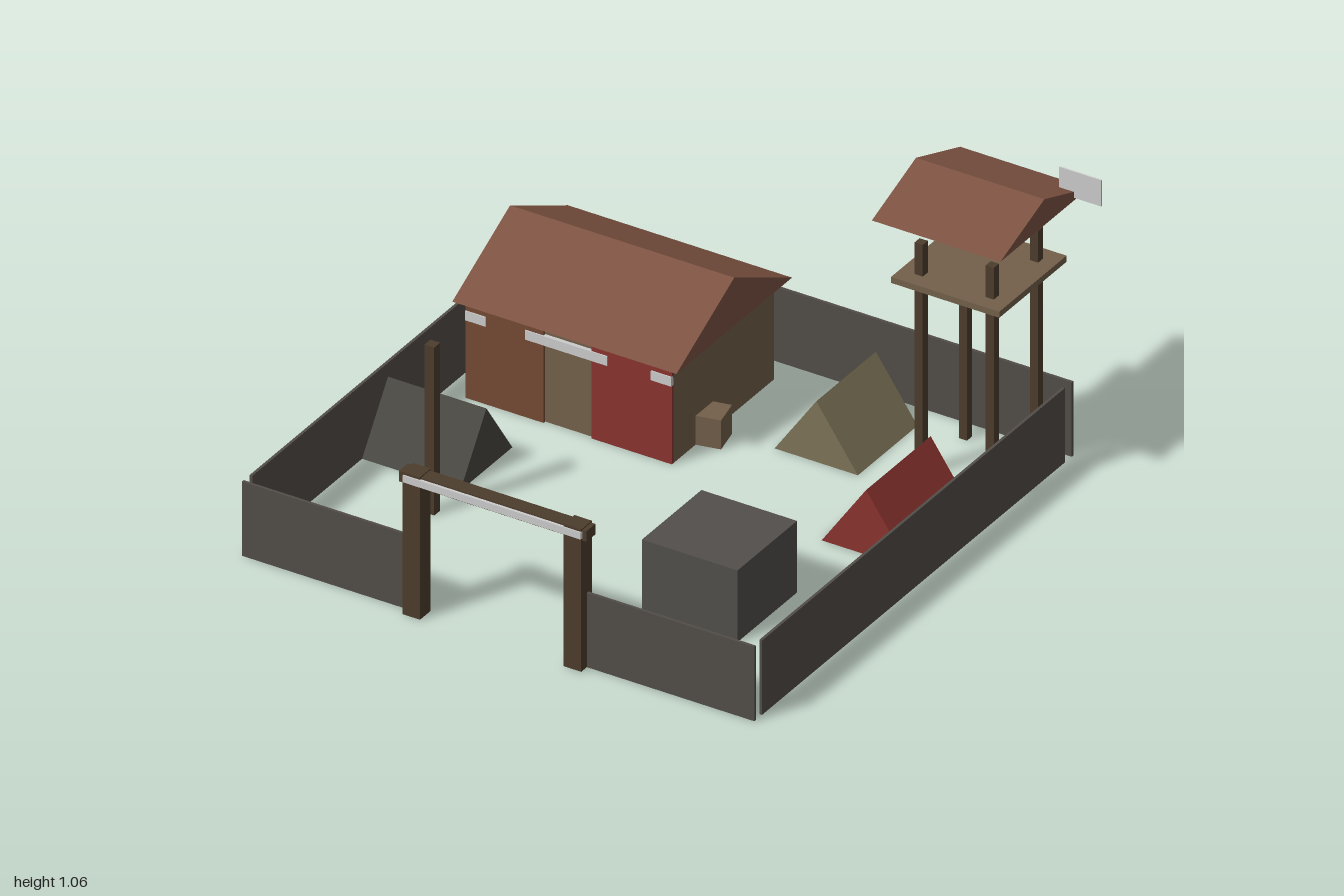
import * as THREE from 'three';

const mat = (color) => new THREE.MeshStandardMaterial({ color, flatShading: true });
const M = {
  grey: mat(0xcccccc), wall: mat(0x524d47), darkWood: mat(0x4d3d2d), plank: mat(0x73604a),
  roof: mat(0x7d5342), red: mat(0x8a332e), brown: mat(0x744a33), olive: mat(0x7d7458),
  dark: mat(0x4a4841), stone: mat(0x524f4b),
};

// Box given by its limits on each axis
function box(parent, name, material, [x0, x1], [y0, y1], [z0, z1]) {
  const mesh = new THREE.Mesh(new THREE.BoxGeometry(x1 - x0, y1 - y0, z1 - z0), material);
  mesh.position.set((x0 + x1) / 2, (y0 + y1) / 2, (z0 + z1) / 2);
  mesh.name = name;
  parent.add(mesh);
  return mesh;
}

// Triangular prism with its ridge along x or z
function prism(parent, name, material, [x0, x1], [y0, y1], [z0, z1], ridge) {
  const alongX = ridge === 'x';
  const width = alongX ? z1 - z0 : x1 - x0;
  const length = alongX ? x1 - x0 : z1 - z0;
  const shape = new THREE.Shape();
  shape.moveTo(-width / 2, 0);
  shape.lineTo(width / 2, 0);
  shape.lineTo(0, y1 - y0);
  shape.closePath();
  const geometry = new THREE.ExtrudeGeometry(shape, { depth: length, bevelEnabled: false });
  geometry.translate(0, 0, -length / 2);
  if (alongX) geometry.rotateY(Math.PI / 2);
  const mesh = new THREE.Mesh(geometry, material);
  mesh.position.set((x0 + x1) / 2, y0, (z0 + z1) / 2);
  mesh.name = name;
  parent.add(mesh);
}

function group(parent, name) {
  const g = new THREE.Group();
  g.name = name;
  parent.add(g);
  return g;
}

export function createModel() {
  const model = new THREE.Group();
  model.name = 'walledCamp';

  // Perimeter walls, with an opening for the gate
  const walls = group(model, 'perimeterWalls');
  const wallY = [0, 0.27];
  box(walls, 'backWall', M.wall, [-1, 0.875], wallY, [-0.935, -0.925]);
  box(walls, 'frontWallRight', M.wall, [-1, -0.36], wallY, [0.93, 0.94]);
  box(walls, 'frontWallLeft', M.wall, [0.23, 0.875], wallY, [0.93, 0.94]);
  box(walls, 'rightWall', M.wall, [-1, -0.99], wallY, [-0.885, 0.895]);
  box(walls, 'leftWall', M.wall, [0.865, 0.875], wallY, [-0.885, 0.895]);

  // Gate
  const gate = group(model, 'gate');
  for (const x of [-0.36, 0.23]) {
    box(gate, 'gatePost', M.darkWood, [x - 0.032, x + 0.032], [0, 0.517], [0.91, 0.973]);
  }
  box(gate, 'gateBeam', M.darkWood, [-0.408, 0.278], [0.475, 0.513], [0.915, 0.968]);
  box(gate, 'gateSign', M.grey, [-0.388, 0.263], [0.483, 0.508], [0.968, 0.978]);

  // Main house with two front panels and a broken sign strip
  const house = group(model, 'house');
  box(house, 'houseBody', M.plank, [-0.91, -0.155], [0, 0.356], [-0.83, -0.24]);
  prism(house, 'houseRoof', M.roof, [-0.94, -0.12], [0.355, 0.53], [-0.88, -0.2], 'x');
  box(house, 'brownPanel', M.brown, [-0.91, -0.625], [0, 0.34], [-0.24, -0.23]);
  box(house, 'redPanel', M.red, [-0.45, -0.155], [0, 0.34], [-0.24, -0.23]);
  for (const x of [[-0.91, -0.835], [-0.69, -0.39], [-0.23, -0.155]]) {
    box(house, 'signStrip', M.grey, x, [0.284, 0.318], [-0.24, -0.226]);
  }

  // Crate beside the house
  const crate = box(model, 'crate', M.plank, [-0.182, -0.082], [0, 0.105], [-0.475, -0.375]);
  crate.rotation.y = 0.21;

  // Tents
  prism(model, 'oliveTent', M.olive, [0.065, 0.37], [0, 0.22], [-0.83, -0.48], 'z');
  prism(model, 'redTent', M.red, [0.48, 0.805], [0, 0.235], [-0.47, -0.09], 'z');
  prism(model, 'darkTent', M.dark, [-0.995, -0.63], [0, 0.22], [-0.055, 0.25], 'x');

  // Storage block and mast
  box(model, 'storageBlock', M.stone, [0.23, 0.58], [0, 0.26], [0.215, 0.565]);
  box(model, 'mast', M.darkWood, [-0.656, -0.62], [0, 0.61], [0.385, 0.42]);

  // Watchtower
  const tower = group(model, 'watchtower');
  for (const x of [0.533, 0.793]) {
    for (const z of [-0.59, -0.85]) {
      box(tower, 'towerPost', M.darkWood, [x - 0.015, x + 0.015], [0, 0.845], [z - 0.015, z + 0.015]);
    }
  }
  box(tower, 'towerPlatform', M.plank, [0.465, 0.861], [0.708, 0.73], [-0.918, -0.522]);
  prism(tower, 'towerRoof', M.roof, [0.43, 0.9], [0.953, 1.047], [-0.985, -0.465], 'x');
  box(tower, 'flag', M.grey, [0.845, 1], [0.963, 1.058], [-0.903, -0.898]);

  return model;
}
